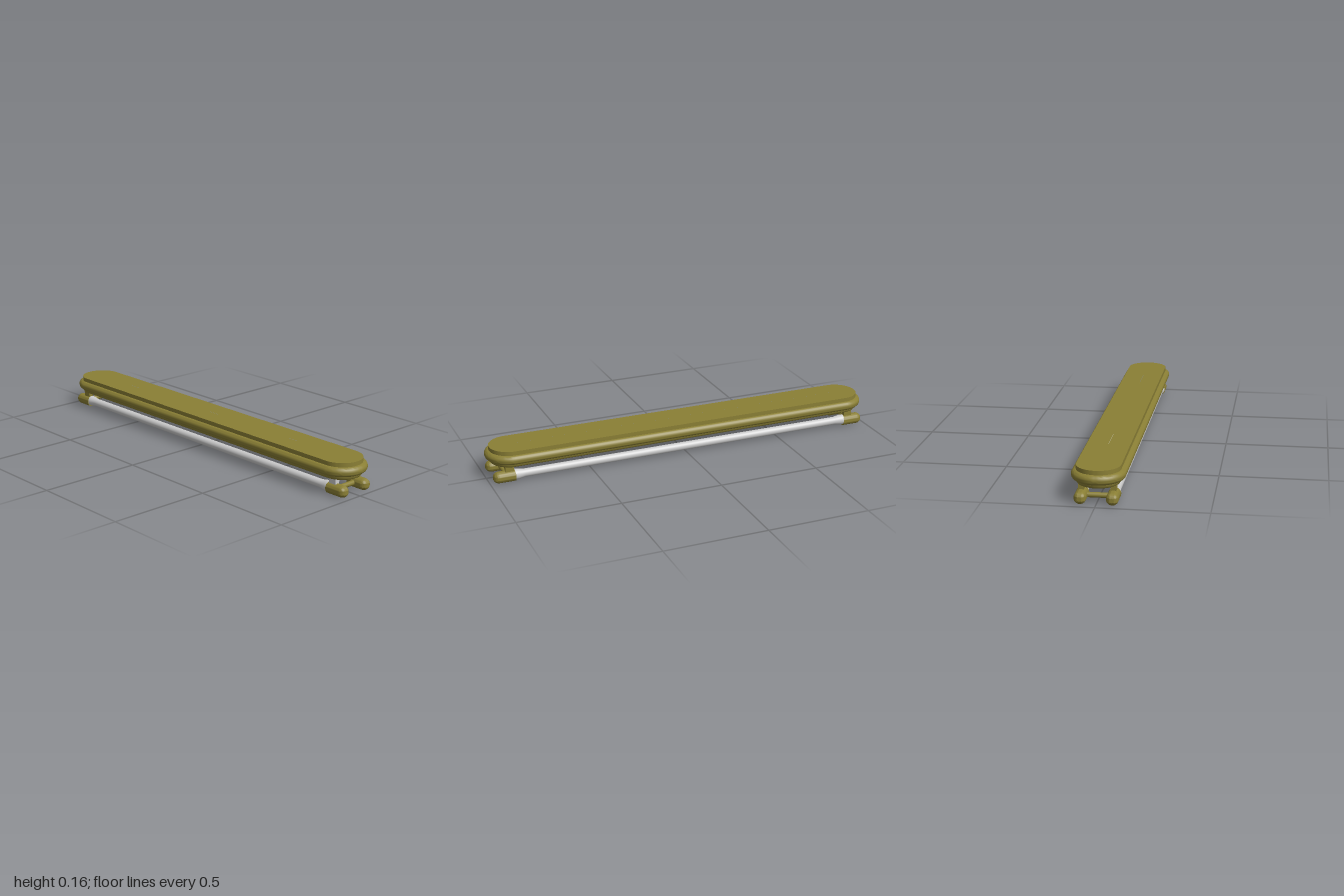
import * as THREE from 'three';
import { toCreasedNormals } from 'three/addons/utils/BufferGeometryUtils.js';

const olive = new THREE.MeshStandardMaterial({ color: 0x8a7f35 });
const grey = new THREE.MeshStandardMaterial({ color: 0xcccccc });

// Lathe from [radius, height] pairs listed bottom to top
function lathe(profile, segments, phiStart = 0) {
  const points = profile.map(([r, y]) => new THREE.Vector2(r, y));
  return new THREE.LatheGeometry(points, segments, phiStart);
}

// Turned solid pulled apart along z, giving a long body with round ends
function stadium(profile, stretch) {
  const segments = 64;
  const geometry = lathe(profile, segments, Math.PI / segments);
  const p = geometry.attributes.position;
  for (let i = 0; i < p.count; i++) {
    p.setZ(i, p.getZ(i) + Math.sign(p.getZ(i)) * stretch);
  }
  return toCreasedNormals(geometry, Math.PI / 5);
}

export function createModel() {
  const model = new THREE.Group();
  model.name = 'tubeLamp';
  const add = (name, geometry, material, x = 0, y = 0, z = 0) => {
    const mesh = new THREE.Mesh(geometry, material);
    mesh.name = name;
    mesh.position.set(x, y, z);
    model.add(mesh);
    return mesh;
  };

  // Housing: stepped plates with a rounded rim around the middle
  const profile = [[0.0001, 0.076], [0.088, 0.076], [0.094, 0.079], [0.098, 0.085], [0.1, 0.095]];
  for (let i = 0; i <= 10; i++) {
    const a = -Math.PI / 2 + (Math.PI * i) / 10;
    profile.push([0.1 + 0.0215 * Math.cos(a), 0.1175 + 0.0225 * Math.sin(a)]);
  }
  profile.push([0.1, 0.16], [0.0001, 0.16]);
  add('housing', stadium(profile, 0.879), olive);

  // Lamp tubes with flared ends
  const tube = lathe([[0.026, -0.88], [0.026, -0.865], [0.02, -0.83],
    [0.02, 0.83], [0.026, 0.865], [0.026, 0.88]], 32).rotateX(Math.PI / 2);

  // Round-nosed end cap pointing along +z, closed at the back
  const capProfile = [[0, 0], [0.028, 0]];
  for (let i = 0; i <= 10; i++) {
    const a = (Math.PI / 2) * (i / 10);
    capProfile.push([0.028 * Math.cos(a), 0.079 + 0.028 * Math.sin(a)]);
  }
  const cap = toCreasedNormals(lathe(capProfile, 32).rotateX(Math.PI / 2), Math.PI / 4);
  const post = new THREE.BoxGeometry(0.025, 0.05, 0.04);
  const bar = new THREE.CylinderGeometry(0.012, 0.012, 0.14, 24).rotateZ(Math.PI / 2);

  for (const side of [-1, 1]) {
    const x = side * 0.071;
    add(side > 0 ? 'leftTube' : 'rightTube', tube, grey, x, 0.028 + 0.003, 0);
    for (const end of [-1, 1]) {
      const socket = add('endCap', cap, olive, x, 0.028, end * 0.878);
      if (end < 0) socket.rotation.y = Math.PI;
      // One of the four posts is left grey
      const plain = side < 0 && end > 0;
      add('post', post, plain ? grey : olive, x, 0.058, end * 0.905);
    }
  }

  // Bars joining the two caps at each end
  for (const end of [-1, 1]) add('crossBar', bar, olive, 0, 0.029, end * 0.915);

  return model;
}
